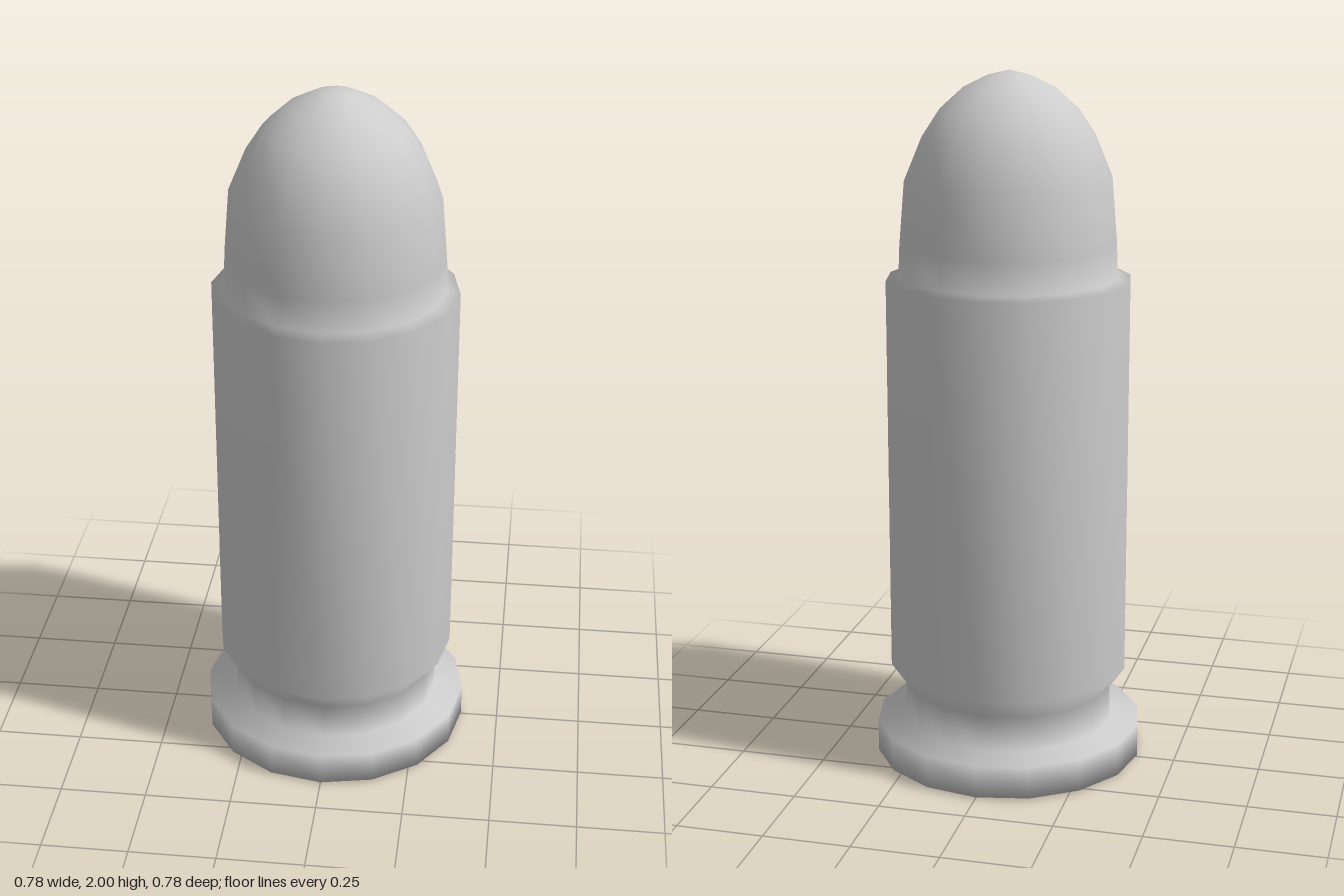
import * as THREE from 'three';
import { mergeVertices } from 'three/addons/utils/BufferGeometryUtils.js';

const SIDES = 16;

// Radius and height from the base centre up to the tip
const profile = [
  [0, 0], [0.39, 0.005], [0.39, 0.1], [0.305, 0.11],                  // rim
  [0.305, 0.215], [0.348, 0.275], [0.348, 1.42], [0.312, 1.43],       // groove, body, mouth
  [0.308, 1.52], [0.293, 1.7], [0.243, 1.82], [0.197, 1.89],          // nose
  [0.13, 1.95], [0.06, 1.985], [0, 2],
].map(([r, y]) => new THREE.Vector2(r, y));

// One lathed skin with normals smoothed across every ring
function smoothSkin() {
  const lathe = new THREE.LatheGeometry(profile, SIDES);
  lathe.deleteAttribute('uv');
  lathe.deleteAttribute('normal');
  const skin = mergeVertices(lathe, 1e-5);
  skin.computeVertexNormals();
  return skin;
}

// The faces of the skin between two heights, keeping the shared normals
function band(skin, low, high) {
  const y = skin.getAttribute('position');
  const kept = [];
  for (let i = 0; i < skin.index.count; i += 3) {
    const tri = [0, 1, 2].map((k) => skin.index.getX(i + k));
    if (new Set(tri).size < 3) continue;
    const mid = tri.reduce((sum, v) => sum + y.getY(v), 0) / 3;
    if (mid >= low && mid < high) kept.push(...tri);
  }
  const part = skin.clone();
  part.setIndex(kept);
  return part;
}

export function createModel() {
  const group = new THREE.Group();
  group.name = 'cartridge';
  const metal = new THREE.MeshStandardMaterial({ color: 0xcccccc });
  metal.name = 'light grey metal';

  const skin = smoothSkin();
  const parts = [
    ['rim', -1, 0.11],
    ['extractorGroove', 0.11, 0.275],
    ['caseBody', 0.275, 1.43],
    ['bulletNose', 1.43, 3],
  ];
  for (const [name, low, high] of parts) {
    const mesh = new THREE.Mesh(band(skin, low, high), metal);
    mesh.name = name;
    group.add(mesh);
  }
  return group;
}
